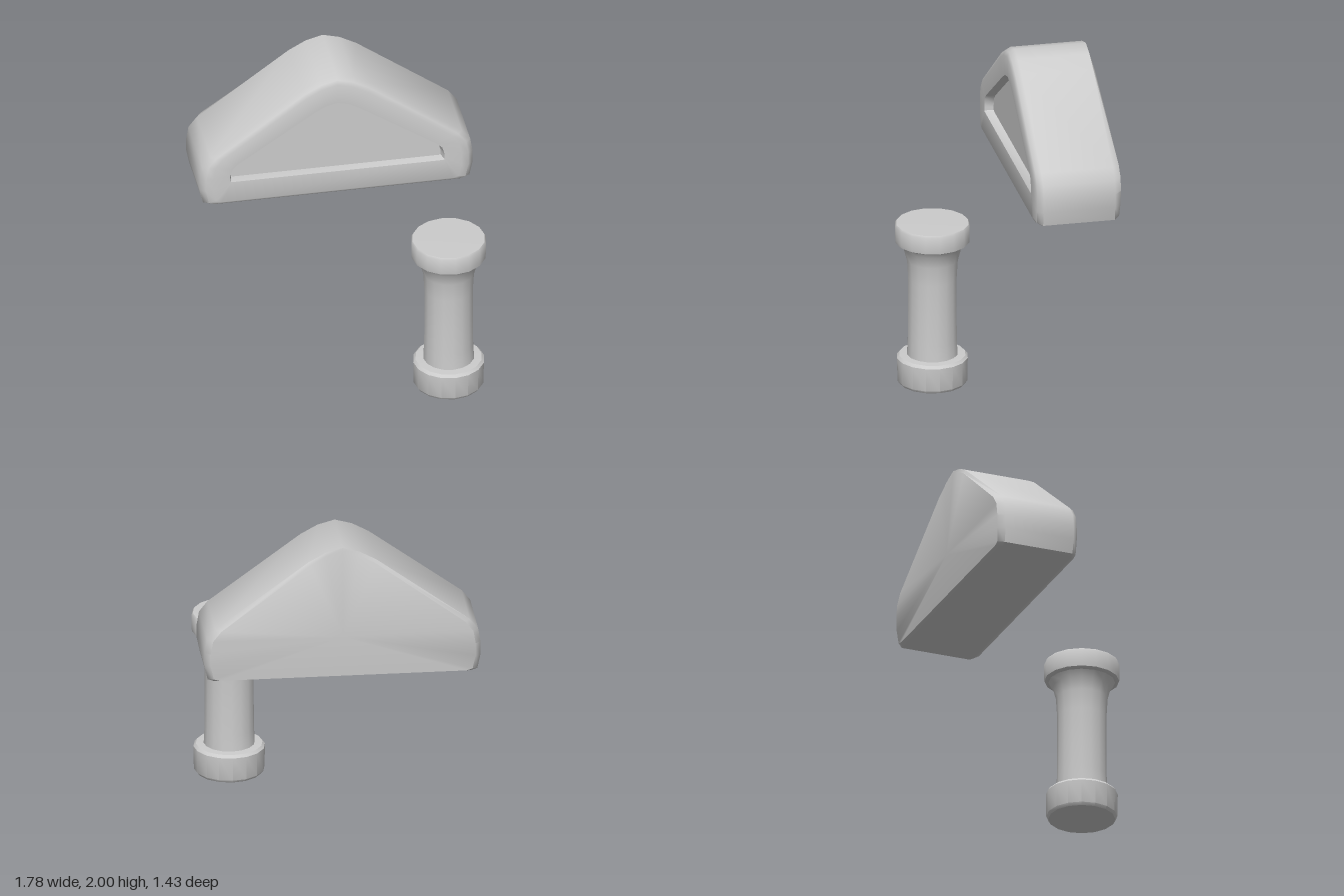
import * as THREE from 'three';
import { toCreasedNormals } from 'three/addons/utils/BufferGeometryUtils.js';

const material = new THREE.MeshStandardMaterial({ color: 0xcccccc });

// Mirror a right-hand half outline (bottom to apex) into a closed loop
const mirrorLoop = (half) => [...half, ...half.slice(0, -1).reverse().map(([x, y]) => [-x, y])];

// Place an outline at depth z (number or function of y), scaled about (0, 1.45)
function ring(loop, scale, z) {
  return loop.map(([x, y]) => {
    const py = 1.45 + (y - 1.45) * scale;
    return new THREE.Vector3(x * scale, py, typeof z === 'function' ? z(py) : z);
  });
}

// Skin consecutive rings, closing both ends with a fan
function loft(rings, startCentre, endCentre) {
  const pos = [];
  const tri = (...pts) => pts.forEach((p) => pos.push(p.x, p.y, p.z));
  const n = rings[0].length;
  const last = rings[rings.length - 1];
  for (let i = 0; i < n; i++) {
    const j = (i + 1) % n;
    tri(startCentre, rings[0][j], rings[0][i]);
    for (let k = 0; k < rings.length - 1; k++) {
      const a = rings[k], b = rings[k + 1];
      tri(a[i], a[j], b[j]);
      tri(a[i], b[j], b[i]);
    }
    tri(last[i], last[j], endCentre);
  }
  const geometry = new THREE.BufferGeometry();
  geometry.setAttribute('position', new THREE.Float32BufferAttribute(pos, 3));
  return toCreasedNormals(geometry, 0.9);
}

// Rounded triangular gable with a shallow recessed panel in front
function createPediment() {
  const outer = mirrorLoop([
    [0.83, 1.112], [0.87, 1.125], [0.89, 1.22], [0.89, 1.31], [0.875, 1.4],
    [0.82, 1.47], [0.22, 1.91], [0.11, 1.97], [0, 2],
  ]);
  const panel = mirrorLoop([
    [0.69, 1.285], [0.7, 1.29], [0.7, 1.31], [0.7, 1.33], [0.685, 1.38],
    [0.65, 1.415], [0.15, 1.75], [0.08, 1.79], [0, 1.81],
  ]);
  // The back leans in gently towards the apex
  const back = (y) => -0.715 + 0.125 * (y - 1.4) ** 2;
  const rings = [
    ring(outer, 0.96, back),
    ring(outer, 1, -0.67),
    ring(outer, 1, -0.2),
    ring(outer, 0.963, -0.165),
    ring(outer, 0.91, -0.152),
    ring(panel, 1, -0.157),
    ring(panel, 0.975, -0.215),
  ];
  const geometry = loft(rings, new THREE.Vector3(0, 1.4, -0.717), new THREE.Vector3(0, 1.47, -0.215));
  const mesh = new THREE.Mesh(geometry, material);
  mesh.name = 'pediment';
  return mesh;
}

// Turned column: foot, shaft flaring at the top, and capital
function createColumn() {
  const column = new THREE.Group();
  column.name = 'column';
  const parts = {
    base: [[0, 0], [0.215, 0.002], [0.228, 0.02], [0.231, 0.175], [0.215, 0.193], [0.15, 0.197]],
    shaft: [[0.165, 0.19], [0.16, 0.3], [0.158, 0.5], [0.158, 0.72], [0.166, 0.85], [0.187, 0.93], [0.22, 0.975]],
    capital: [[0.15, 0.965], [0.22, 0.967], [0.24, 0.978], [0.243, 1.0], [0.243, 1.09], [0.235, 1.103], [0, 1.107]],
  };
  for (const [name, points] of Object.entries(parts)) {
    const lathe = new THREE.LatheGeometry(points.map(([r, y]) => new THREE.Vector2(r, y)), 16);
    const mesh = new THREE.Mesh(toCreasedNormals(lathe, 0.7), material);
    mesh.name = name;
    column.add(mesh);
  }
  column.position.set(0.607, 0, 0.47);
  return column;
}

export function createModel() {
  const model = new THREE.Group();
  model.name = 'templeParts';
  model.add(createPediment(), createColumn());
  return model;
}
